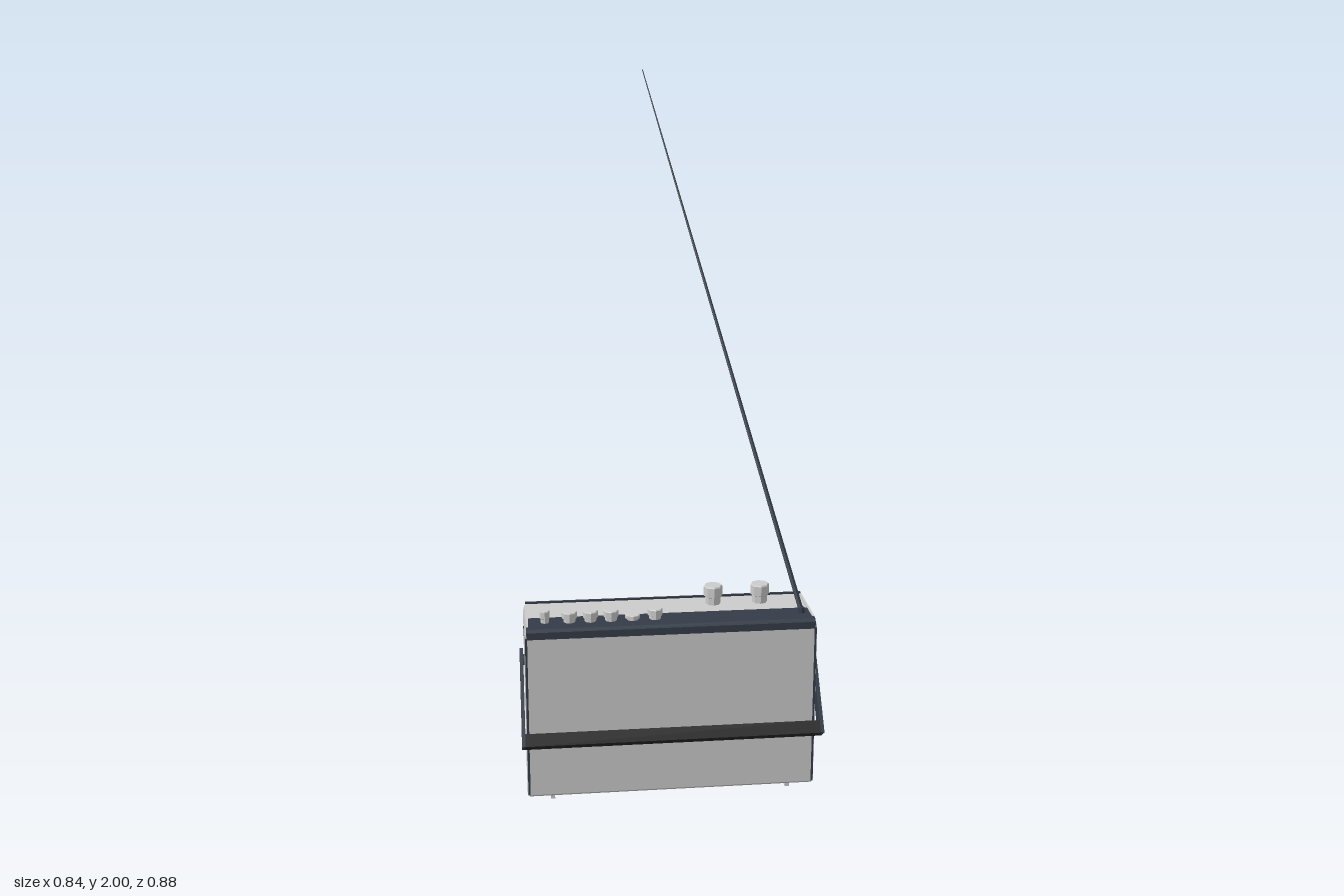
import * as THREE from 'three';

const grey = new THREE.MeshStandardMaterial({ color: 0xcccccc, flatShading: true });
const navy = new THREE.MeshStandardMaterial({ color: 0x343c48, flatShading: true });
const black = new THREE.MeshStandardMaterial({ color: 0x262626, flatShading: true });

export function createModel() {
  const radio = new THREE.Group();
  radio.name = 'portableRadio';

  const add = (name, geometry, material, x = 0, y = 0, z = 0, parent = radio) => {
    const mesh = new THREE.Mesh(geometry, material);
    mesh.name = name;
    mesh.position.set(x, y, z);
    parent.add(mesh);
    return mesh;
  };
  const box = (name, w, h, d, material, x, y, z, parent) =>
    add(name, new THREE.BoxGeometry(w, h, d), material, x, y, z, parent);

  // Extrude a [z, y] profile along x, centred on x = 0
  const prism = (points, width) => {
    const shape = new THREE.Shape(points.map(([z, y]) => new THREE.Vector2(-z, y)));
    return new THREE.ExtrudeGeometry(shape, { depth: width, bevelEnabled: false })
      .translate(0, 0, -width / 2).rotateY(Math.PI / 2);
  };

  // Case with a stepped back cover
  add('case', prism([
    [0.366, 0.02], [0.373, 0.027], [0.373, 0.492], [0.16, 0.492],
    [0.16, 0.392], [0.154, 0.374], [0.154, 0.027], [0.161, 0.02],
  ], 0.8), grey);

  // Top deck: dark front band, grey panel and dark rear rim
  add('frontControlBand', prism([
    [0.376, 0.492], [0.376, 0.512], [0.37, 0.52], [0.285, 0.52], [0.285, 0.492],
  ], 0.8), navy);
  box('topPanel', 0.8, 0.026, 0.119, grey, 0, 0.504, 0.2265);
  add('rearRim', prism([
    [0.168, 0.492], [0.168, 0.522], [0.161, 0.522], [0.156, 0.514], [0.156, 0.492],
  ], 0.8), navy);

  for (const s of [-1, 1]) {
    // End cap, chamfered at the top
    const cap = prism([
      [0.362, 0.024], [0.367, 0.03], [0.367, 0.5], [0.352, 0.522],
      [0.182, 0.522], [0.167, 0.5], [0.167, 0.03], [0.172, 0.024],
    ], 0.012);
    const p = cap.attributes.position;
    for (let i = 0; i < p.count; i++) {
      if (p.getY(i) > 0.51 && p.getX(i) * s > 0) p.setX(i, 0);
    }
    cap.computeVertexNormals();
    add('endCap', cap, grey, s * 0.4);

    // Dark edge strips and the slot on the end
    for (const z of [0.37, 0.163]) {
      box('edgeStrip', 0.006, 0.465, 0.008, navy, s * 0.401, 0.26, z);
    }
    box('endSlot', 0.002, 0.004, 0.065, navy, s * 0.406, 0.485, 0.29);

    // Long narrow feet
    for (const z of [0.31, 0.22]) {
      box('foot', 0.012, 0.022, 0.075, grey, s * 0.335, 0.011, z);
    }
  }

  // Carrying handle, swung down over the front
  const handle = new THREE.Group();
  handle.name = 'handle';
  handle.position.set(0, 0.305, 0.34);
  handle.rotation.x = -0.63;
  radio.add(handle);
  for (const s of [-1, 1]) {
    box('handleArm', 0.01, 0.274, 0.047, navy, s * 0.414, 0, 0, handle);
    const pivot = add('handlePivot', new THREE.CylinderGeometry(0.015, 0.015, 0.012, 10),
      navy, s * 0.407, 0.11, 0, handle);
    pivot.rotation.z = Math.PI / 2;
  }
  box('handleGrip', 0.822, 0.035, 0.046, black, 0, -0.1195, 0, handle);

  // Control knobs: a narrow stem under a wider cap
  const knob = (name, x, z, r, top, sides) => {
    const base = 0.515, h = top - base;
    const profile = [
      [0, 0], [r * 0.8, 0], [r * 0.8, h * 0.4], [r, h * 0.45], [r, h * 0.93], [r * 0.9, h], [0, h],
    ].map(([a, b]) => new THREE.Vector2(a, b));
    add(name, new THREE.LatheGeometry(profile, sides), grey, x, base, z);
  };
  for (const x of [0.135, 0.27]) knob('tuningKnob', x, 0.215, 0.027, 0.572, 8);
  [-0.28, -0.222, -0.165, -0.105, -0.042].forEach((x, i) =>
    knob('bandButton', x, 0.32, 0.021, i === 3 ? 0.535 : 0.55, 8));
  knob('powerSwitch', -0.348, 0.32, 0.014, 0.555, 8);

  // Telescopic antenna, thinner in each section
  const foot = new THREE.Vector3(0.37, 0.525, 0.32);
  const tip = new THREE.Vector3(0, 2, -0.443);
  const along = tip.clone().sub(foot);
  const direction = along.clone().normalize();
  const antenna = new THREE.Group();
  antenna.name = 'antenna';
  radio.add(antenna);
  const radii = [0.0075, 0.0065, 0.0055, 0.0045, 0.003, 0.0015];
  for (let i = 0; i < 5; i++) {
    const centre = foot.clone().addScaledVector(along, (i + 0.5) / 5);
    const section = add('antennaSection',
      new THREE.CylinderGeometry(radii[i + 1], radii[i], along.length() / 5, 6),
      navy, centre.x, centre.y, centre.z, antenna);
    section.quaternion.setFromUnitVectors(new THREE.Vector3(0, 1, 0), direction);
  }
  add('antennaSocket', new THREE.CylinderGeometry(0.009, 0.011, 0.02, 8), navy,
    foot.x, foot.y, foot.z, antenna);

  return radio;
}
